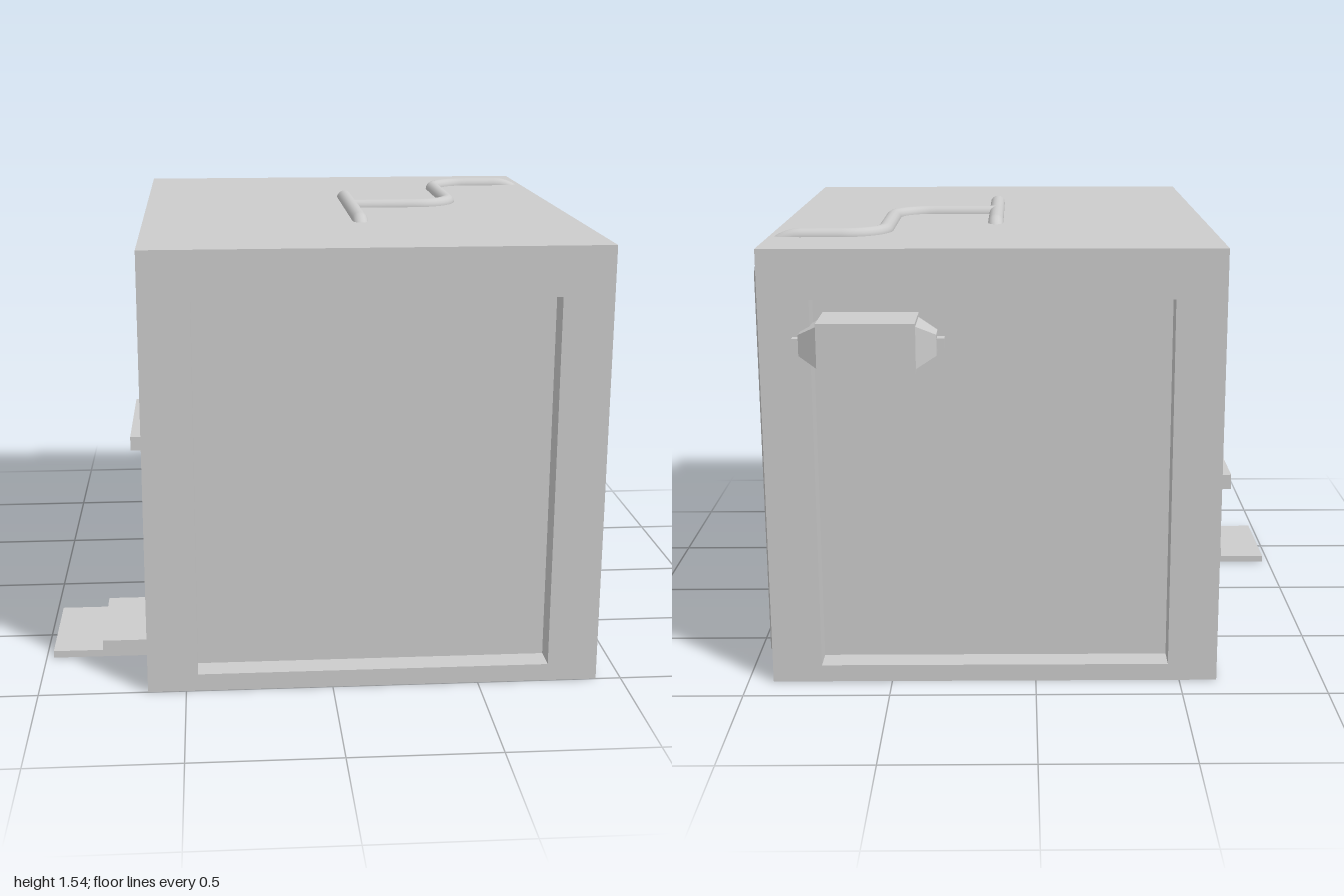
import * as THREE from 'three';

export function createModel() {
  const model = new THREE.Group();
  model.name = 'cabin';
  const grey = new THREE.MeshStandardMaterial({ color: 0xcccccc });
  grey.name = 'plain grey';

  const add = (name, geometry) => {
    const mesh = new THREE.Mesh(geometry, grey);
    mesh.name = name;
    model.add(mesh);
    return mesh;
  };
  // Box given by its limits on each axis
  const box = (name, x0, x1, y0, y1, z0, z1) => {
    const g = new THREE.BoxGeometry(x1 - x0, y1 - y0, z1 - z0);
    g.translate((x0 + x1) / 2, (y0 + y1) / 2, (z0 + z1) / 2);
    return add(name, g);
  };

  // Frame: floor, roof and four corner posts around recessed walls
  const X0 = -0.63, X1 = 0.913, Z0 = -0.885, Z1 = 1;
  const POST = 0.17, SILL = 0.06, HEAD = 1.347, TOP = 1.515, RECESS = 0.09;
  box('floor', X0, X1, 0, SILL, Z0, Z1);
  box('roof', X0, X1, HEAD, TOP, Z0, Z1);
  for (const x of [X0, X1 - POST])
    for (const z of [Z0, Z1 - POST])
      box('cornerPost', x, x + POST, SILL, HEAD, z, z + POST);
  box('recessedWalls', X0 + RECESS + 0.05, X1 - RECESS, SILL, HEAD, Z0 + RECESS, Z1 - RECESS);

  // Right-hand wall skin with a door notch and a window hole (shape x runs along z)
  const skin = new THREE.Shape();
  [[Z0 + RECESS, SILL], [0.35, SILL], [0.35, 1.165], [0.69, 1.165], [0.69, SILL],
    [Z1 - RECESS, SILL], [Z1 - RECESS, HEAD], [Z0 + RECESS, HEAD]]
    .forEach(([z, y], i) => (i ? skin.lineTo(z, y) : skin.moveTo(z, y)));
  const hole = new THREE.Path();
  hole.moveTo(-0.475, 0.63);
  hole.lineTo(-0.475, 1.095);
  hole.lineTo(0.055, 1.095);
  hole.lineTo(0.055, 0.63);
  hole.closePath();
  skin.holes.push(hole);
  const skinGeo = new THREE.ExtrudeGeometry(skin, { depth: 0.05, bevelEnabled: false });
  skinGeo.rotateY(-Math.PI / 2);
  skinGeo.translate(X0 + RECESS + 0.05, 0, 0);
  add('entranceWall', skinGeo);

  // Window bar, serving shelf and door knob
  box('windowBar', -0.54, -0.49, 0.865, 0.89, -0.475, 0.055);
  box('shelf', -0.715, -0.54, 0.575, 0.63, -0.5, 0.07);
  const knob = add('doorKnob', new THREE.SphereGeometry(0.012, 12, 8));
  knob.position.set(-0.5, 0.65, 0.41);

  // Entrance steps
  box('upperStep', -0.8, X0, 0, 0.06, 0.305, 0.7);
  box('lowerStep', -0.975, -0.8, 0, 0.025, 0.305, 0.7);

  // Pipes half sunk into the roof: straight runs joined by rounded corners
  const pipe = (name, points, bend) => {
    const v = points.map(p => new THREE.Vector3(...p));
    const path = new THREE.CurvePath();
    let from = v[0];
    for (let i = 1; i < v.length - 1; i++) {
      const a = v[i].clone().add(v[i - 1].clone().sub(v[i]).setLength(bend));
      const b = v[i].clone().add(v[i + 1].clone().sub(v[i]).setLength(bend));
      const k = 0.5523; // quarter-circle handle length
      path.add(new THREE.LineCurve3(from, a));
      path.add(new THREE.CubicBezierCurve3(a, a.clone().lerp(v[i], k), b.clone().lerp(v[i], k), b));
      from = b;
    }
    path.add(new THREE.LineCurve3(from, v[v.length - 1]));
    add(name, new THREE.TubeGeometry(path, 120, 0.028, 16));
  };
  pipe('roofPipe', [[0.14, 1.4, 0.47], [0.14, TOP, 0.47], [0.14, TOP, -0.29], [0.14, 1.4, -0.29]], 0.08);
  pipe('drainPipe', [[0.14, TOP, 0.055], [0.525, TOP, 0.055], [0.525, TOP, -0.585],
    [0.942, TOP, -0.585], [0.942, 0, -0.585]], 0.14);
  const cap = add('drainPipeEnd', new THREE.CircleGeometry(0.028, 16).rotateX(Math.PI / 2));
  cap.position.set(0.942, 0.001, -0.585);

  // Wall unit on the back, with tapered ends and small tips
  const cx = 0.55, cy = 1.207, cz = -0.898;
  box('wallUnit', 0.39, 0.71, 1.125, 1.29, -1, -0.795);
  for (const side of [-1, 1]) {
    const taper = new THREE.BoxGeometry(0.065, 0.14, 0.17);
    const p = taper.attributes.position;
    for (let i = 0; i < p.count; i++)
      if (p.getX(i) * side > 0) p.setXYZ(i, p.getX(i), p.getY(i) * 0.5, p.getZ(i) * 0.5);
    taper.computeVertexNormals();
    taper.translate(cx + side * 0.1925, cy, cz);
    add('wallUnitTaper', taper);
    const tip = add('wallUnitTip', new THREE.BoxGeometry(0.025, 0.035, 0.04));
    tip.position.set(cx + side * 0.2375, cy, cz);
  }
  return model;
}
